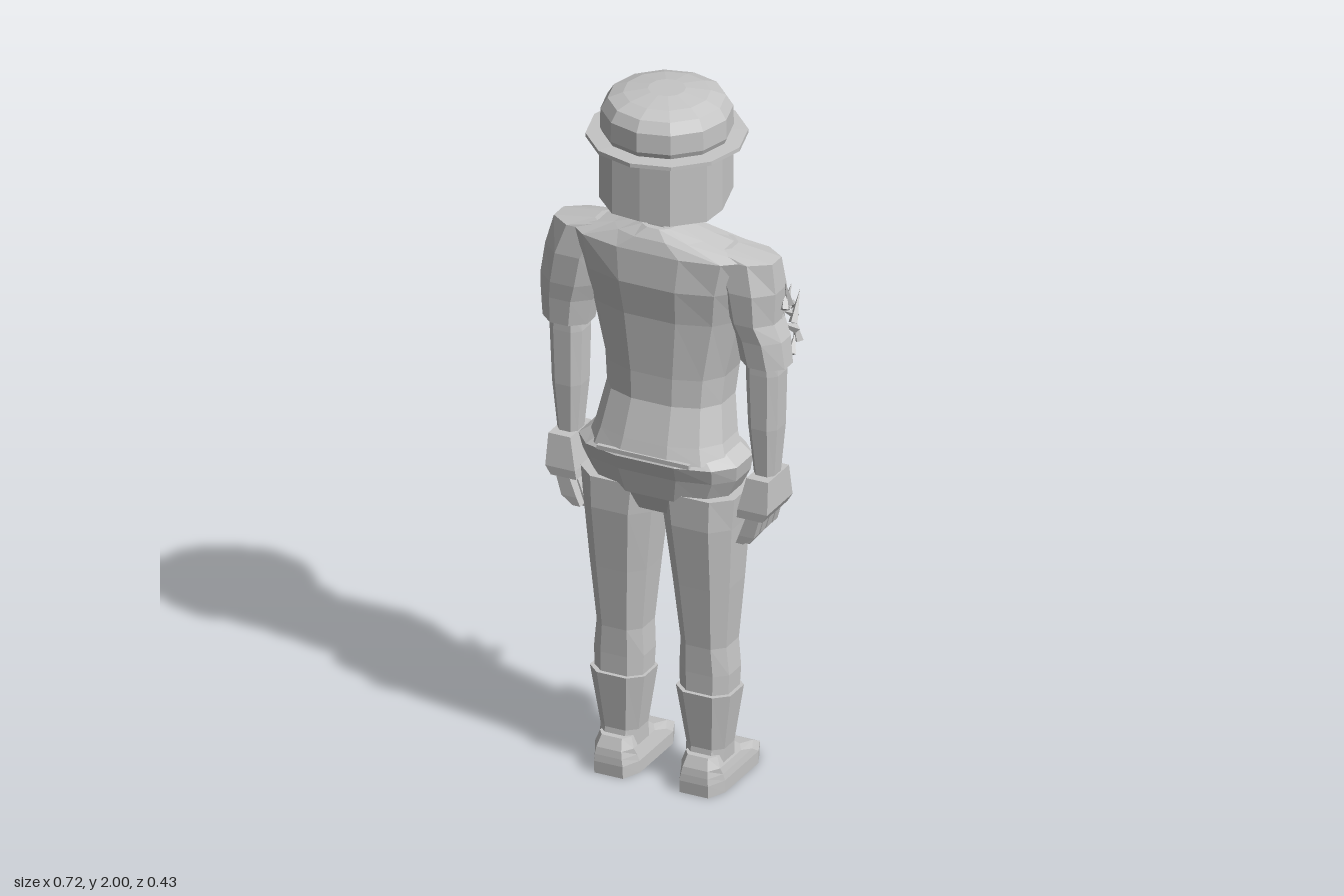
import * as THREE from 'three';

const grey = new THREE.MeshStandardMaterial({ color: 0xc6c6c6, flatShading: true });
grey.name = 'plain grey';

// Closed skin over rings [y, x0, x1, z0, z1], listed from bottom to top.
// A low "round" makes the section boxier.
function loft(rings, sides = 8, round = 0.7) {
  const pos = [], idx = [];
  const off = Math.PI / sides, max = Math.cos(off) ** round;
  const bend = (v) => Math.sign(v) * Math.abs(v) ** round / max;
  for (const [y, xa, xb, za, zb] of rings) {
    for (let i = 0; i < sides; i++) {
      const a = off + (i / sides) * Math.PI * 2;
      pos.push(
        (xa + xb) / 2 + bend(Math.cos(a)) * Math.abs(xb - xa) / 2, y,
        (za + zb) / 2 + bend(Math.sin(a)) * Math.abs(zb - za) / 2);
    }
  }
  const top = (rings.length - 1) * sides;
  for (let j = 0; j < top; j += sides) {
    for (let i = 0; i < sides; i++) {
      const k = (i + 1) % sides;
      idx.push(j + i, j + sides + i, j + sides + k, j + i, j + sides + k, j + k);
    }
  }
  for (let i = 1; i < sides - 1; i++) idx.push(0, i, i + 1, top, top + i + 1, top + i);
  const g = new THREE.BufferGeometry();
  g.setAttribute('position', new THREE.Float32BufferAttribute(pos, 3));
  g.setIndex(idx);
  const flat = g.toNonIndexed();
  flat.computeVertexNormals();
  return flat;
}

function add(parent, name, geometry, x = 0, y = 0, z = 0, rx = 0, ry = 0, rz = 0) {
  const m = new THREE.Mesh(geometry, grey);
  m.name = name;
  m.position.set(x, y, z);
  m.rotation.set(rx, ry, rz);
  parent.add(m);
  return m;
}

// Mirror ring x values onto one side.
const side = (s, rings) => rings.map(([y, a, b, c, d]) => [y, s * a, s * b, c, d]);
const sym = (rings) => rings.map(([y, x, c, d]) => [y, -x, x, c, d]);
const box = (x, y, z) => new THREE.BoxGeometry(x, y, z);

function makeHat() {
  const hat = new THREE.Group();
  hat.name = 'hat';
  const lathe = (pts) => new THREE.LatheGeometry(pts.map(([r, y]) => new THREE.Vector2(r, y)), 12);
  add(hat, 'hatCrown', lathe([[0, 1.865], [0.165, 1.867], [0.175, 1.89], [0.174, 1.945],
    [0.155, 1.975], [0.115, 1.99], [0.05, 2], [0, 2]]));
  add(hat, 'hatBrim', lathe([[0, 1.863], [0.213, 1.863], [0.213, 1.874], [0.16, 1.876], [0, 1.876]]));
  return hat;
}

function makeHead() {
  const head = new THREE.Group();
  head.name = 'head';
  add(head, 'neck', loft(sym([[1.58, 0.045, -0.045, 0.065], [1.72, 0.038, -0.045, 0.06]])));
  add(head, 'face', loft(sym([[1.635, 0.04, -0.125, -0.07], [1.66, 0.075, -0.13, -0.02],
    [1.7, 0.11, -0.128, 0.12], [1.77, 0.125, -0.13, 0.13], [1.865, 0.13, -0.125, 0.13]]), 10));

  // Straight hair around the back and sides, open at the face.
  const half = [[0.125, 0.11], [0.152, 0.085], [0.163, 0], [0.158, -0.08], [0.085, -0.15], [0, -0.158]];
  const inner = [[0.11, 0.1], [0.12, -0.02], [0.07, -0.1]];
  const flip = (p) => p.map(([x, y]) => [-x, y]);
  const outline = [...half, ...flip(half.slice(0, -1)).reverse(), ...flip(inner), ...inner.slice().reverse()];
  const shape = new THREE.Shape(outline.map(([x, y]) => new THREE.Vector2(x, y)));
  const hair = new THREE.ExtrudeGeometry(shape, { depth: 0.19, bevelEnabled: false });
  hair.rotateX(-Math.PI / 2).translate(0, 1.68, 0);
  const p = hair.attributes.position;
  for (let i = 0; i < p.count; i++) {
    if (p.getY(i) < 1.7 && p.getZ(i) < -0.04) p.setY(i, 1.68 + (-0.04 - p.getZ(i)) * 0.6);
  }
  hair.computeVertexNormals();
  add(head, 'hair', hair);

  // Facial features
  const nose = new THREE.ConeGeometry(0.028, 0.075, 4);
  add(head, 'nose', nose, 0, 1.77, -0.133, 0.15);
  add(head, 'lips', box(0.05, 0.014, 0.02), 0, 1.683, -0.13);
  add(head, 'chinBeard', loft(sym([[1.63, 0.022, -0.14, -0.1], [1.665, 0.035, -0.138, -0.1]])));
  for (const s of [-1, 1]) {
    add(head, 'eyebrow', box(0.065, 0.014, 0.025), s * 0.05, 1.822, -0.128, 0, 0, s * 0.15);
    add(head, 'eye', new THREE.SphereGeometry(0.017, 6, 4), s * 0.048, 1.797, -0.12);
    add(head, 'cheek', new THREE.IcosahedronGeometry(0.028, 0), s * 0.065, 1.745, -0.11);
    add(head, 'moustache', box(0.06, 0.02, 0.028), s * 0.028, 1.714, -0.133, 0, 0, -s * 0.25);
  }
  return head;
}

function makeTorso() {
  const torso = new THREE.Group();
  torso.name = 'torso';
  add(torso, 'shirt', loft(sym([[0.975, 0.2, -0.125, 0.14], [1.02, 0.185, -0.128, 0.125],
    [1.12, 0.168, -0.14, 0.09], [1.2, 0.175, -0.155, 0.09], [1.37, 0.215, -0.177, 0.1],
    [1.47, 0.235, -0.15, 0.118], [1.565, 0.26, -0.1, 0.112], [1.6, 0.13, -0.07, 0.1],
    [1.625, 0.05, -0.05, 0.08]]), 12, 0.8));
  add(torso, 'hips', loft(sym([[0.8, 0.1, -0.08, 0.08], [0.85, 0.19, -0.1, 0.1],
    [0.92, 0.225, -0.112, 0.115], [0.965, 0.232, -0.12, 0.132], [0.995, 0.19, -0.11, 0.11]]), 12, 0.75));
  add(torso, 'waistFold', box(0.27, 0.012, 0.012), 0, 0.982, 0.135);
  return torso;
}

function makeArm(s) {
  const arm = new THREE.Group();
  arm.name = s > 0 ? 'leftArm' : 'rightArm';
  const torn = s > 0;
  add(arm, 'sleeve', loft(side(s, [[1.265, 0.225, 0.355, -0.062, 0.052],
    [1.34, 0.21, torn ? 0.345 : 0.36, -0.075, 0.058], [1.39, 0.19, torn ? 0.325 : 0.36, -0.085, 0.065],
    [1.48, 0.17, torn ? 0.33 : 0.345, -0.09, 0.07], [1.565, 0.13, 0.32, -0.07, 0.06],
    [1.585, 0.1, 0.2, -0.05, 0.05]]), 8, 1));
  add(arm, 'forearm', loft(side(s, [[0.94, 0.258, 0.318, -0.048, 0.022], [1.08, 0.245, 0.33, -0.058, 0.035],
    [1.24, 0.24, 0.335, -0.058, 0.04], [1.3, 0.245, 0.33, -0.055, 0.04]])));
  add(arm, 'hand', loft(side(s, [[0.825, 0.235, 0.31, -0.085, 0.06], [0.85, 0.238, 0.325, -0.085, 0.062],
    [0.94, 0.258, 0.322, -0.07, 0.05]]), 4));
  // Four fingers curling inwards
  for (let i = 0; i < 4; i++) {
    const z = 0.04 - i * 0.036, tip = [0.745, 0.73, 0.735, 0.75][i];
    add(arm, 'finger', loft(side(s, [[tip, 0.228, 0.25, z - 0.012, z + 0.012],
      [0.77, 0.238, 0.282, z - 0.014, z + 0.014], [0.835, 0.262, 0.3, z - 0.015, z + 0.015]]), 4));
  }
  add(arm, 'thumb', loft(side(s, [[0.765, 0.226, 0.25, -0.112, -0.085], [0.82, 0.228, 0.262, -0.115, -0.08],
    [0.89, 0.245, 0.29, -0.105, -0.06]]), 4));
  if (torn) {
    // Ragged scraps of cloth on the sleeve
    let seed = 7;
    const rnd = () => (seed = (seed * 16807) % 2147483647) / 2147483647;
    for (let i = 0; i < 14; i++) {
      add(arm, 'tornCloth', new THREE.ConeGeometry(0.013, 0.06 + rnd() * 0.04, 4),
        0.312 + rnd() * 0.025, 1.3 + (i / 13) * 0.16, -0.095 + rnd() * 0.09,
        (rnd() - 0.5) * 2.4, 0, (rnd() - 0.5) * 0.6);
    }
  }
  return arm;
}

function makeLeg(s) {
  const leg = new THREE.Group();
  leg.name = s > 0 ? 'leftLeg' : 'rightLeg';
  add(leg, 'trouserLeg', loft(side(s, [[0.26, 0.055, 0.195, -0.062, 0.06], [0.34, 0.052, 0.198, -0.068, 0.06],
    [0.42, 0.056, 0.19, -0.072, 0.062], [0.6, 0.038, 0.205, -0.085, 0.08],
    [0.78, 0.018, 0.217, -0.1, 0.1], [0.87, 0.004, 0.225, -0.1, 0.1]])));
  add(leg, 'bootShaft', loft(side(s, [[0.06, 0.07, 0.18, -0.065, 0.06], [0.12, 0.07, 0.182, -0.055, 0.05],
    [0.285, 0.046, 0.206, -0.072, 0.072]])));
  add(leg, 'shoe', loft(side(s, [[0, 0.06, 0.19, -0.205, 0.09], [0.035, 0.06, 0.19, -0.207, 0.092],
    [0.055, 0.065, 0.187, -0.17, 0.09], [0.075, 0.07, 0.183, -0.1, 0.086],
    [0.105, 0.08, 0.172, -0.06, 0.07]]), 8, 0.5));
  return leg;
}

export function createModel() {
  const figure = new THREE.Group();
  figure.name = 'figure';
  figure.add(makeHat(), makeHead(), makeTorso());
  for (const s of [-1, 1]) figure.add(makeArm(s), makeLeg(s));
  return figure;
}
